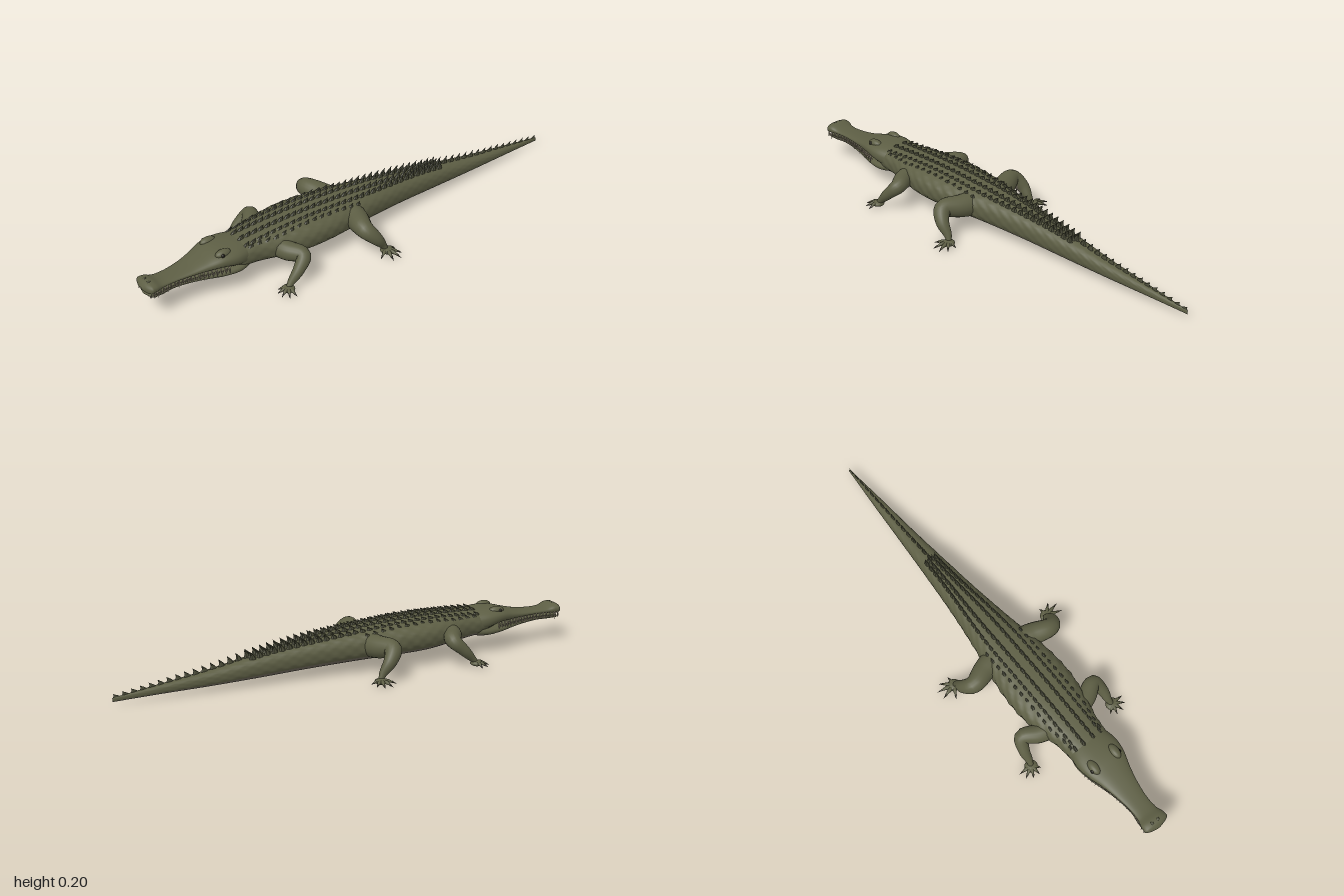
import * as THREE from 'three';
import { mergeGeometries } from 'three/addons/utils/BufferGeometryUtils.js';

const mat = (name, color) => Object.assign(new THREE.MeshStandardMaterial({ color }), { name });
const V = (x, y, z) => new THREE.Vector3(x, y, z);

// Closed skin over rings; group 0 is hide, group 1 is belly
function skin(rows, n, point, isBelly) {
  const pos = [], faces = [[], []];
  for (let i = 0; i < rows; i++)
    for (let j = 0; j < n; j++) pos.push(...point(i, (j / n) * Math.PI * 2));
  for (let i = 0; i < rows - 1; i++)
    for (let j = 0; j < n; j++) {
      const k = (j + 1) % n;
      const a = i * n + j, b = i * n + k, c = b + n, d = a + n;
      faces[isBelly(i, ((j + 0.5) / n) * Math.PI * 2) ? 1 : 0].push(a, b, c, a, c, d);
    }
  const g = new THREE.BufferGeometry();
  g.setAttribute('position', new THREE.Float32BufferAttribute(pos, 3));
  g.setIndex([...faces[0], ...faces[1]]);
  g.addGroup(0, faces[0].length, 0);
  g.addGroup(faces[0].length, faces[1].length, 1);
  g.computeVertexNormals();
  return g;
}

// Smooth interpolation of stations [z, halfWidth, top, bottom]
function profile(stations) {
  const f = new THREE.CubicInterpolant(stations.map(s => s[0]), stations.flatMap(s => s.slice(1)), 3, new Float32Array(3));
  return z => [...f.evaluate(z)];
}

const spow = (v, p) => Math.sign(v) * Math.abs(v) ** p;
const POWER = 2 / 2.4;

// Loft of rounded sections along z
function loft(stations, rows, n, bellyLevel, bump = 0) {
  const at = profile(stations), z0 = stations[0][0], z1 = stations.at(-1)[0];
  return skin(rows, n, (i, a) => {
    const z = z0 + ((z1 - z0) * i) / (rows - 1);
    const [w, top, bot] = at(z), c = Math.cos(a), s = Math.sin(a);
    const flank = s > -0.4 && s < 0.8 ? bump * Math.sin(z * 110) * Math.sin(a * 12) : 0;
    return [w * spow(c, POWER) * (1 + flank), (top + bot) / 2 + ((top - bot) / 2) * spow(s, POWER) * (1 + flank), z];
  }, (i, a) => Math.sin(a) < bellyLevel);
}

// Tapered limb along a curve; inward and downward faces take the belly colour
function limb(points, radii, side, rows = 24, n = 18, under = 0.72) {
  const curve = new THREE.CatmullRomCurve3(points);
  const fr = curve.computeFrenetFrames(rows - 1, false);
  const rad = new THREE.CubicInterpolant(radii.map((_, i) => i / (radii.length - 1)), radii, 1, new Float32Array(1));
  const dir = (i, a) => fr.normals[i].clone().multiplyScalar(Math.cos(a)).addScaledVector(fr.binormals[i], Math.sin(a));
  return skin(rows, n, (i, a) => {
    const t = i / (rows - 1), r = Math.max(0.0003, rad.evaluate(t)[0]);
    return curve.getPointAt(t).addScaledVector(dir(i, a), r).toArray();
  }, (i, a) => dir(i, a).dot(V(-0.7 * side, -0.7, -0.1)) > under);
}

// Cone from base to tip
function spike(base, tip, r, sides = 6) {
  const d = tip.clone().sub(base);
  const g = new THREE.ConeGeometry(r, d.length(), sides);
  g.translate(0, d.length() / 2, 0);
  g.applyQuaternion(new THREE.Quaternion().setFromUnitVectors(V(0, 1, 0), d.normalize()));
  return g.translate(base.x, base.y, base.z);
}

// Keeled back plate swept towards the tail
function scute(x, y, z, w, h, len) {
  const g = new THREE.ConeGeometry(1, 1, 6, 2).toNonIndexed();
  const p = g.attributes.position;
  for (let i = 0; i < p.count; i++) {
    const t = p.getY(i) + 0.5;
    p.setXYZ(i, x + p.getX(i) * w, y - 0.004 + t * (h + 0.004), z + p.getZ(i) * len - t * t * len * 0.9);
  }
  g.computeVertexNormals();
  return g;
}

const BODY = [
  [-1, 0.003, 0.032, 0.016], [-0.8, 0.02, 0.058, 0.02], [-0.6, 0.035, 0.085, 0.022], [-0.4, 0.052, 0.12, 0.027],
  [-0.2, 0.072, 0.15, 0.035], [0, 0.1, 0.173, 0.042], [0.1, 0.118, 0.18, 0.045], [0.22, 0.132, 0.186, 0.047],
  [0.32, 0.132, 0.188, 0.05], [0.42, 0.115, 0.187, 0.058], [0.52, 0.093, 0.184, 0.068], [0.58, 0.088, 0.18, 0.075],
  [0.64, 0.07, 0.165, 0.09]];
const HEAD = [
  [0.54, 0.08, 0.178, 0.08], [0.62, 0.095, 0.183, 0.1], [0.68, 0.088, 0.18, 0.115], [0.74, 0.069, 0.164, 0.118],
  [0.8, 0.054, 0.15, 0.12], [0.88, 0.043, 0.143, 0.12], [0.93, 0.045, 0.146, 0.118], [0.965, 0.054, 0.158, 0.115],
  [0.99, 0.044, 0.152, 0.118], [1, 0.003, 0.137, 0.131]];
const JAW = [
  [0.53, 0.065, 0.13, 0.078], [0.6, 0.088, 0.118, 0.07], [0.68, 0.08, 0.113, 0.075], [0.74, 0.064, 0.113, 0.083],
  [0.8, 0.05, 0.112, 0.09], [0.88, 0.04, 0.11, 0.096], [0.95, 0.046, 0.11, 0.097], [0.98, 0.037, 0.108, 0.1],
  [0.99, 0.003, 0.106, 0.104]];

export function createModel() {
  const model = new THREE.Group();
  const hide = mat('olive hide', 0x5d5e44), belly = mat('taupe belly', 0x6b6458), plate = mat('dark scutes', 0x484936);
  const ivory = mat('ivory teeth', 0xb0a48e), horn = mat('dark claws', 0x4c4739), eyeMat = mat('black eyes', 0x1c1a14);
  const skinMats = [hide, belly];
  const add = (name, geo, m, parent = model) => {
    const mesh = new THREE.Mesh(geo, m);
    mesh.name = name;
    parent.add(mesh);
    return mesh;
  };

  add('bodyAndTail', loft(BODY, 190, 48, -0.45, 0.02), skinMats);
  add('upperHead', loft(HEAD, 70, 36, -2), skinMats);
  add('lowerJaw', loft(JAW, 60, 32, -0.35), skinMats);

  // Teeth along both jaw edges
  const headAt = profile(HEAD), jawAt = profile(JAW), teeth = [];
  for (const s of [-1, 1])
    for (let i = 0; i < 20; i++) {
      const z = 0.66 + i * 0.0165, w = headAt(z)[0], lw = jawAt(Math.min(z + 0.008, 0.975))[0];
      const len = i % 3 ? 0.02 : 0.027;
      teeth.push(spike(V(s * w * 0.9, 0.127, z), V(s * w * 0.99, 0.127 - len - 0.006, z), 0.0042));
      teeth.push(spike(V(s * lw * 0.9, 0.104, z + 0.008), V(s * (lw + 0.005), 0.106 + len * 0.8, z + 0.008), 0.0038));
    }
  add('teeth', mergeGeometries(teeth), ivory);

  // Brows, eyes and nostrils
  for (const s of [-1, 1]) {
    const brow = add('brow', new THREE.SphereGeometry(1, 20, 14), hide);
    brow.position.set(s * 0.052, 0.172, 0.665);
    brow.scale.set(0.019, 0.018, 0.034);
    const eye = add('eye', new THREE.SphereGeometry(0.009, 14, 10), eyeMat);
    eye.position.set(s * 0.065, 0.173, 0.675);
    const nostril = add('nostril', new THREE.SphereGeometry(1, 12, 8), plate);
    nostril.position.set(s * 0.014, 0.156, 0.972);
    nostril.scale.set(0.006, 0.004, 0.008);
  }

  // Back plates: paired rows that close into one crest on the tail
  const bodyAt = profile(BODY), plates = [];
  const putPlate = (x, z, w, h, len) => {
    const [hw, top, bot] = bodyAt(z);
    const k = (1 - Math.min(0.95, Math.abs(x) / hw) ** 2.4) ** (1 / 2.4);
    plates.push(scute(x, (top + bot) / 2 + ((top - bot) / 2) * k, z, w, h, len));
  };
  const { smoothstep, lerp } = THREE.MathUtils;
  for (const s of [-1, 1]) {
    for (let z = 0.565; z > -0.45; z -= 0.031) {
      const tail = smoothstep(-z, -0.15, 0.3);
      putPlate(s * lerp(0.023, 0.009, smoothstep(-z, 0, 0.45)), z, 0.009, lerp(0.017, 0.024, tail), 0.018);
      putPlate(s * lerp(0.06, 0.024, smoothstep(-z, -0.1, 0.45)), z, 0.008, lerp(0.012, 0.028, tail), 0.017);
    }
    for (let z = 0.55; z > 0.03; z -= 0.036) putPlate(s * Math.min(0.085, bodyAt(z)[0] * 0.78), z, 0.008, 0.01, 0.014);
  }
  for (let z = -0.44; z > -0.985; z -= 0.036)
    putPlate(0, z, lerp(0.008, 0.003, (-z - 0.44) / 0.55), lerp(0.032, 0.012, (-z - 0.44) / 0.55), 0.018);
  add('backScutes', mergeGeometries(plates), plate);

  // Legs with palms, toes and claws
  const legs = [
    { name: 'frontLeg', under: 0.6, path: [[0.06, 0.115, 0.43], [0.12, 0.115, 0.415], [0.18, 0.112, 0.385], [0.2, 0.075, 0.42], [0.203, 0.035, 0.46], [0.208, 0.012, 0.482]],
      radii: [0.04, 0.039, 0.034, 0.026, 0.019, 0.008], palm: [0.208, 0.478],
      toes: [[0.178, 0.507], [0.2, 0.525], [0.23, 0.525], [0.256, 0.505], [0.264, 0.475]] },
    { name: 'hindLeg', under: 0.8, path: [[0.05, 0.11, 0.06], [0.12, 0.115, 0.075], [0.195, 0.12, 0.098], [0.226, 0.085, 0.07], [0.23, 0.04, 0.035], [0.237, 0.012, 0.02]],
      radii: [0.05, 0.047, 0.041, 0.032, 0.022, 0.008], palm: [0.24, 0.022],
      toes: [[0.238, -0.022], [0.284, -0.022], [0.311, 0.003], [0.308, 0.04], [0.268, 0.075]] }];
  for (const L of legs)
    for (const s of [-1, 1]) {
      const leg = new THREE.Group();
      leg.name = (s > 0 ? 'left ' : 'right ') + L.name;
      model.add(leg);
      add('limb', limb(L.path.map(p => V(p[0] * s, p[1], p[2])), L.radii, s, 30, 20, L.under), skinMats, leg);
      const palm = add('palm', new THREE.SphereGeometry(1, 18, 12), hide, leg);
      palm.position.set(L.palm[0] * s, 0.014, L.palm[1]);
      palm.scale.set(0.027, 0.012, 0.026);
      const claws = [];
      for (const [tx, tz] of L.toes) {
        const at = (t, y) => V(s * lerp(L.palm[0], tx, t), y, lerp(L.palm[1], tz, t));
        add('toe', limb([at(0.1, 0.014), at(0.45, 0.016), at(0.8, 0.009)], [0.009, 0.0085, 0.0055, 0.001], s, 10, 10, 2), skinMats, leg);
        claws.push(spike(at(0.68, 0.012), at(1, 0.005), 0.0048));
      }
      add('claws', mergeGeometries(claws), horn, leg);
    }
  return model;
}
